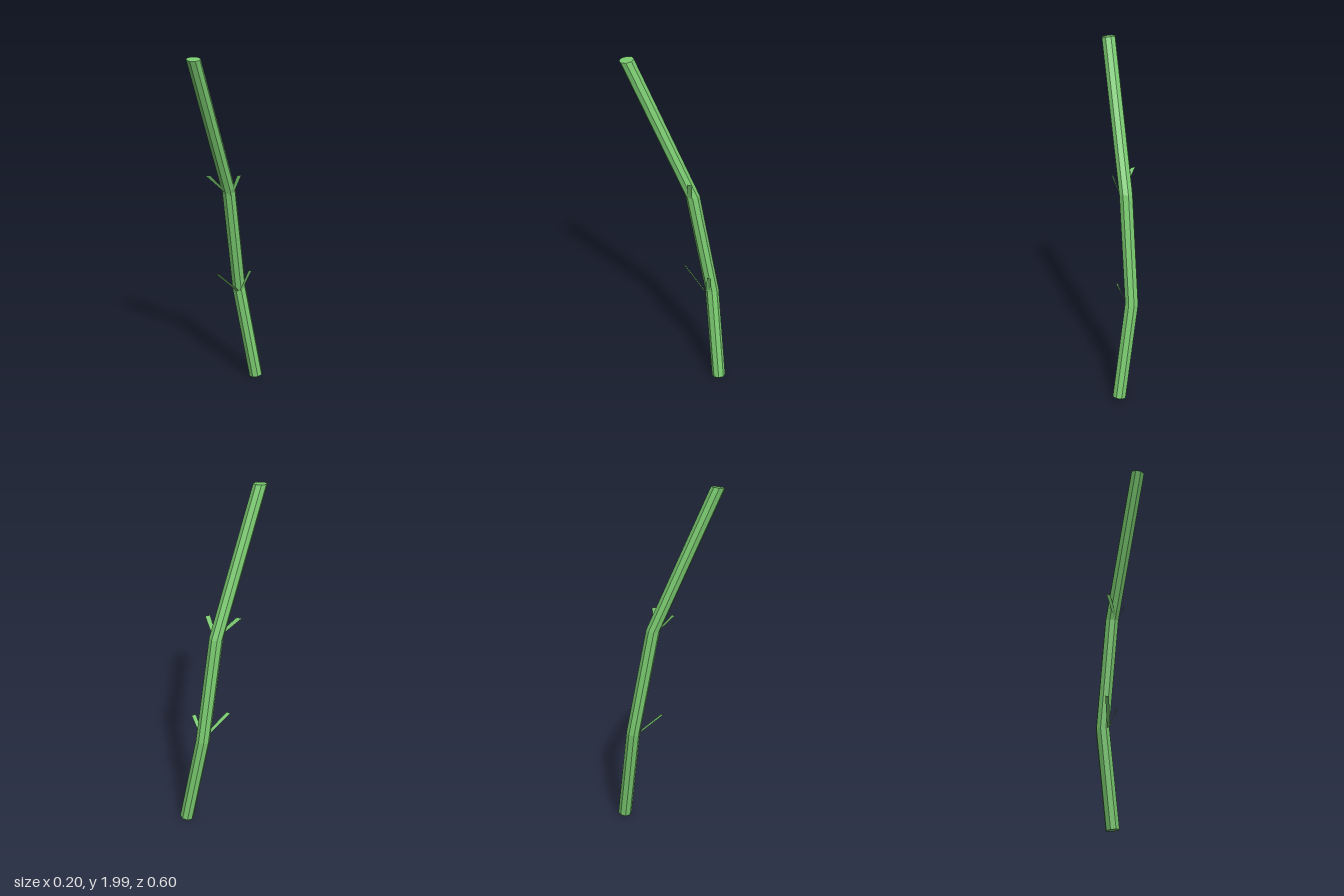
import * as THREE from 'three';

// Stem joints from bottom to top: centre x, y, z and the tilt of the ring in x and z
const JOINTS = [
  [0.005, 0.01, -0.263, 0.14, -0.1],
  [-0.065, 0.57, -0.187, 0.14, -0.1],
  [-0.032, 1.19, -0.075, 0, -0.1],
  [0.065, 1.992, 0.263, -0.12, -0.1],
];

// Eight-sided tube whose rings are moved onto the joints
function stemGeometry(radius) {
  const rows = JOINTS.length - 1;
  const geometry = new THREE.CylinderGeometry(
    radius, radius, rows, 8, rows, false, THREE.MathUtils.degToRad(20));
  const p = geometry.attributes.position;
  for (let i = 0; i < p.count; i++) {
    const [cx, cy, cz, tiltX, tiltZ] = JOINTS[Math.round(p.getY(i) + rows / 2)];
    const dx = p.getX(i), dz = p.getZ(i);
    p.setXYZ(i, cx + dx, cy + tiltX * dx + tiltZ * dz, cz + dz);
  }
  geometry.computeVertexNormals();
  return geometry;
}

// Flat blade between a base edge and a tip edge
function bladeGeometry(baseA, baseB, tipB, tipA) {
  const geometry = new THREE.BufferGeometry();
  geometry.setAttribute('position',
    new THREE.Float32BufferAttribute([baseA, baseB, tipB, tipA].flat(), 3));
  geometry.setIndex([0, 1, 2, 0, 2, 3]);
  geometry.computeVertexNormals();
  return geometry;
}

export function createModel() {
  const group = new THREE.Group();
  group.name = 'stalk';
  const stemMaterial = new THREE.MeshStandardMaterial({ color: 0x7acc70, flatShading: true });
  const leafMaterial = stemMaterial.clone();
  leafMaterial.side = THREE.DoubleSide;

  const add = (name, geometry, material) => {
    const mesh = new THREE.Mesh(geometry, material);
    mesh.name = name;
    group.add(mesh);
  };

  add('stem', stemGeometry(0.0395), stemMaterial);

  // A pair of small leaves at each of the two joints
  add('lowerLeftLeaf', bladeGeometry(
    [-0.035, 0.57, -0.183], [-0.03, 0.57, -0.16],
    [0.016, 0.7, -0.184], [0.02, 0.7, -0.21]), leafMaterial);
  add('lowerFrontLeaf', bladeGeometry(
    [-0.045, 0.565, -0.15], [-0.027, 0.575, -0.15],
    [-0.055, 0.7, -0.021], [-0.077, 0.7, -0.01]), leafMaterial);
  add('upperLeftLeaf', bladeGeometry(
    [0, 1.18, -0.077], [0, 1.18, -0.053],
    [0.04, 1.3, -0.07], [0.044, 1.3, -0.1]), leafMaterial);
  add('upperFrontLeaf', bladeGeometry(
    [-0.02, 1.185, -0.045], [-0.003, 1.195, -0.045],
    [-0.059, 1.3, 0.041], [-0.084, 1.3, 0.059]), leafMaterial);

  return group;
}
